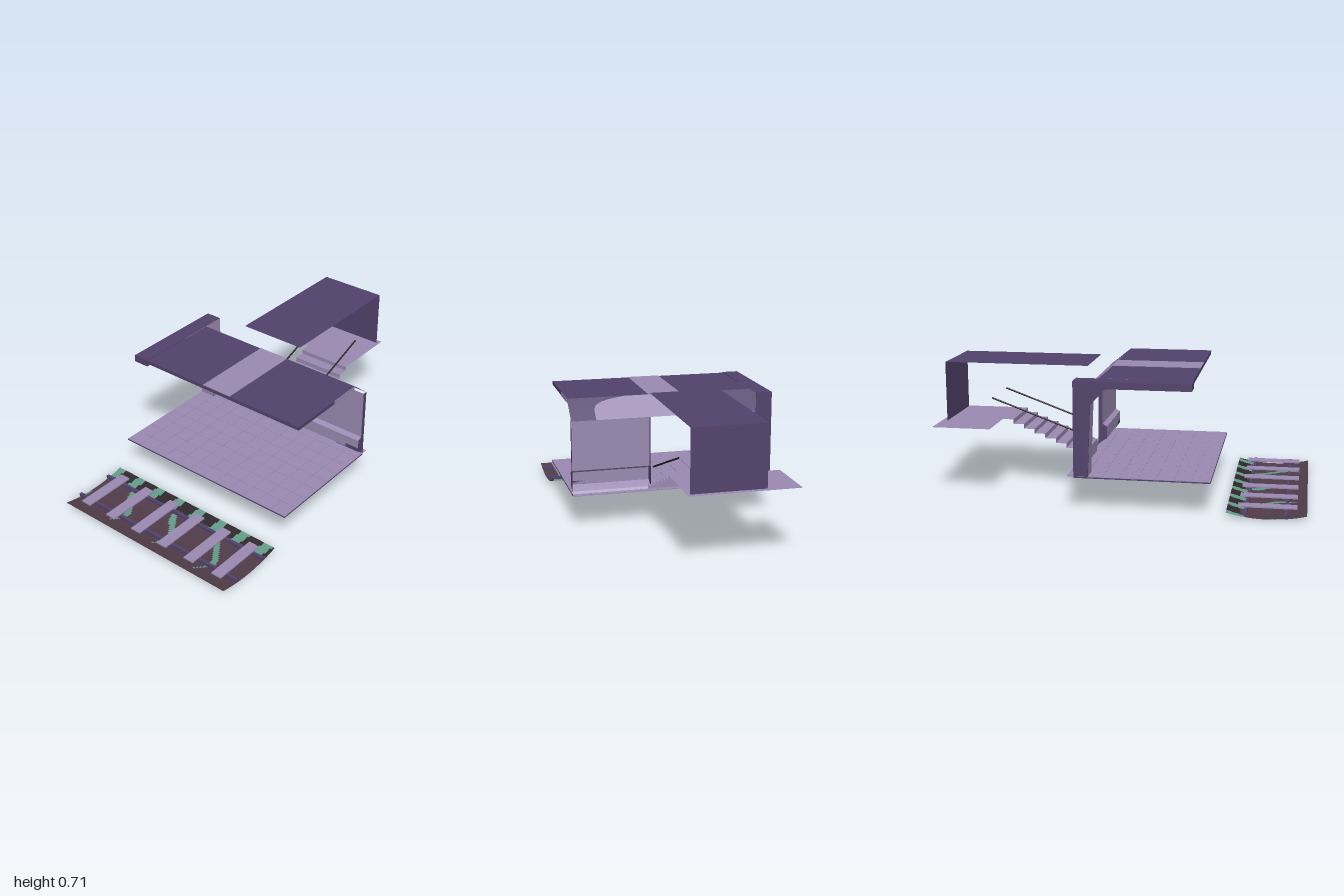
import * as THREE from 'three';

const mat = (name, color) => {
  const m = new THREE.MeshStandardMaterial({ color, side: THREE.DoubleSide });
  m.name = name;
  return m;
};

export function createModel() {
  const model = new THREE.Group();
  model.name = 'station';
  const lilac = mat('lilac', 0x9b8ab1);
  const purple = mat('deepPurple', 0x52426b);
  const black = mat('railBlack', 0x2b2328);
  const brown = mat('ballastBrown', 0x503c49);
  const soot = mat('ballastDark', 0x2e272c);
  const green = mat('mossGreen', 0x629a88);

  const add = (name, geometry, material) => {
    const mesh = new THREE.Mesh(geometry, material);
    mesh.name = name;
    model.add(mesh);
    return mesh;
  };
  // Box given by its minimum and maximum corners
  const box = (name, material, x0, x1, y0, y1, z0, z1) => {
    const g = new THREE.BoxGeometry(x1 - x0, y1 - y0, z1 - z0);
    g.translate((x0 + x1) / 2, (y0 + y1) / 2, (z0 + z1) / 2);
    return add(name, g, material);
  };
  // Flat-shaded surface from a list of four-corner faces
  const faces = (name, material, quads) => {
    const pos = [];
    for (const [a, b, c, d] of quads) pos.push(...a, ...b, ...c, ...a, ...c, ...d);
    const g = new THREE.BufferGeometry();
    g.setAttribute('position', new THREE.Float32BufferAttribute(pos, 3));
    g.computeVertexNormals();
    return add(name, g, material);
  };
  // Sheet swept along x from a [z, y] profile running upward
  const sheet = (name, material, x0, x1, pts) => {
    const quads = [];
    for (let i = 0; i + 1 < pts.length; i++) {
      const [za, ya] = pts[i], [zb, yb] = pts[i + 1];
      quads.push([[x0, ya, za], [x1, ya, za], [x1, yb, zb], [x0, yb, zb]]);
    }
    return faces(name, material, quads);
  };
  // Outline in [z, y] turned to face +x
  const sideShape = (pts) => new THREE.Shape(pts.map(([z, y]) => new THREE.Vector2(-z, y)));

  const L = -0.56, R = 0.555, inner = -0.47, doorL = -0.18, doorR = 0.125;

  // Platform slab with shallow floor tiles
  box('platformSlab', purple, L, R, 0.173, 0.18, -0.2, 0.51);
  const cols = 12, rows = 8, tw = (R - L) / cols, td = 0.745 / rows;
  for (let i = 0; i < cols; i++)
    for (let j = 0; j < rows; j++)
      box('floorTile', lilac, L + i * tw + 0.001, L + (i + 1) * tw - 0.001, 0.18, 0.183,
        -0.235 + j * td + 0.001, -0.235 + (j + 1) * td - 0.001);
  box('tileBed', lilac, L, R, 0.1795, 0.1815, -0.2, 0.509);

  // Back walls with a kick ledge, either side of the doorway
  const wall = [[-0.2, 0.183], [-0.19, 0.195], [-0.15, 0.222], [-0.15, 0.29], [-0.175, 0.305], [-0.175, 0.585]];
  for (const [x0, x1] of [[inner, doorL], [doorR, R]]) {
    sheet('backWall', lilac, x0, x1, wall);
    // Dark end patches on the ledge
    const outer = x0 === inner ? [x0, x0 + 0.08] : [x1 - 0.08, x1];
    box('ledgePatch', purple, outer[0], outer[1], 0.222, 0.242, -0.15, -0.148);
    sheet('ledgeShade', purple, outer[0] - (x0 === inner ? 0 : 0.07), outer[1] + (x0 === inner ? 0.07 : 0),
      [[-0.188, 0.1935], [-0.148, 0.2205]]);
  }
  // Closed edges of the walls
  for (const x of [doorL, doorR, R]) {
    const g = new THREE.ShapeGeometry(sideShape([...wall, [-0.2, 0.585]]));
    g.rotateY(Math.PI / 2);
    g.translate(x, 0, 0);
    add('wallEdge', g, purple);
  }

  // End pillar with bracket and roof beam
  const bracket = [[-0.2, 0.18], [-0.125, 0.18], [-0.11, 0.56], [-0.03, 0.645]];
  const pillar = new THREE.ExtrudeGeometry(
    sideShape([...bracket, [0.41, 0.645], [0.41, 0.683], [-0.2, 0.683]]),
    { depth: inner - L, bevelEnabled: false });
  pillar.rotateY(Math.PI / 2);
  pillar.translate(L, 0, 0);
  add('endPillar', pillar, purple);
  sheet('pillarFront', lilac, L, inner, [[-0.1235, 0.183], [-0.1085, 0.56]]);
  const face = new THREE.ShapeGeometry(sideShape([...bracket, [0.1, 0.645], [0.1, 0.683], [-0.2, 0.683]]));
  face.rotateY(Math.PI / 2);
  face.translate(inner + 0.0015, 0, 0);
  add('pillarInnerFace', face, lilac);

  // Main roof with light stripe and light rear end
  box('roof', purple, inner, R, 0.66, 0.68, -0.08, 0.405);
  box('roofStripe', lilac, -0.07, 0.11, 0.68, 0.683, -0.08, 0.405);
  box('roofEndTrim', lilac, R, R + 0.002, 0.66, 0.68, -0.08, 0.1);

  // Sloped rear of the roof: light arched panel between dark sides
  const arch = [], sides = [], n = 10, mid = 0.035;
  const half = (v) => 0.385 - 0.18 * v ** 6;
  const onSlope = (x, v) => [x, 0.583 + 0.097 * v, -0.2 + 0.12 * v];
  for (let i = 0; i < n; i++) {
    const a = i / n, b = (i + 1) / n;
    const cell = (p, q, r, s) => [onSlope(p, a), onSlope(q, a), onSlope(r, b), onSlope(s, b)];
    arch.push(cell(mid - half(a), mid + half(a), mid + half(b), mid - half(b)));
    sides.push(cell(inner, mid - half(a), mid - half(b), inner));
    sides.push(cell(mid + half(a), R, R, mid + half(b)));
  }
  faces('roofArch', lilac, arch);
  faces('roofSlope', purple, sides);

  // Stairs and upper landing
  const steps = 8, stairs = [[-0.2, 0.183]];
  for (let i = 0; i < steps; i++) {
    const z = -0.2 - i * 0.06, y = 0.183 + (i + 1) * 0.025;
    stairs.push([z, y], [z - 0.06, y]);
  }
  sheet('stairs', lilac, doorL, 0.14, stairs);
  sheet('landing', lilac, -0.435, 0.14, [[-0.68, 0.383], [-1, 0.383]]);

  // Stair canopy: roof and end wall
  sheet('stairCanopy', purple, -0.265, 0.124, [[-0.97, 0.383], [-0.97, 0.71], [-0.18, 0.71]]);

  // Sloping handrails
  for (const x of [-0.172, 0.118]) {
    const path = new THREE.LineCurve3(new THREE.Vector3(x, 0.316, -0.235), new THREE.Vector3(x, 0.5, -0.74));
    add('handrail', new THREE.TubeGeometry(path, 1, 0.005, 8), black);
  }

  // Curved track bed, coloured cell by cell with moss streaks and dark edge
  const nx = 112, nz = 30, cells = [[], [], []];
  const bed = (i, j) => {
    const t = j / nz;
    return [L + (R - L) * i / nx, 0.026 * (2 * t - 1) ** 2, 0.59 + 0.41 * t];
  };
  for (let i = 0; i < nx; i++)
    for (let j = 0; j < nz; j++) {
      const x = L + (R - L) * (i + 0.5) / nx, t = (j + 0.5) / nz;
      const u = ((x + 0.15 + 0.05 * Math.sin(t * 7) + 3.1) % 0.31) - 0.155;
      const tuft = Math.abs((((x + 0.01 + t * 0.1) + 3) % 0.15) - 0.075) < 0.028;
      const streak = Math.abs(u) < 0.022 * Math.sin(Math.PI * Math.min(1, t * 1.1));
      const kind = (t < 0.22 && tuft) || (t > 0.22 && t < 0.9 && streak) ? 2
        : t < 0.2 + 0.05 * Math.sin(x * 30) ? 1 : 0;
      cells[kind].push([bed(i, j), bed(i, j + 1), bed(i + 1, j + 1), bed(i + 1, j)]);
    }
  faces('trackBed', brown, cells[0]);
  faces('trackBedDark', soot, cells[1]);
  faces('trackMoss', green, cells[2]);

  // Rails and sleepers
  for (const z of [0.688, 0.895]) box('trackRail', purple, L, R, 0.012, 0.03, z - 0.008, z + 0.008);
  for (let i = 0; i < 6; i++) {
    const x = -0.459 + i * 0.1848;
    box('sleeper', lilac, x - 0.031, x + 0.031, 0.037, 0.044, 0.647, 0.95);
  }
  return model;
}
